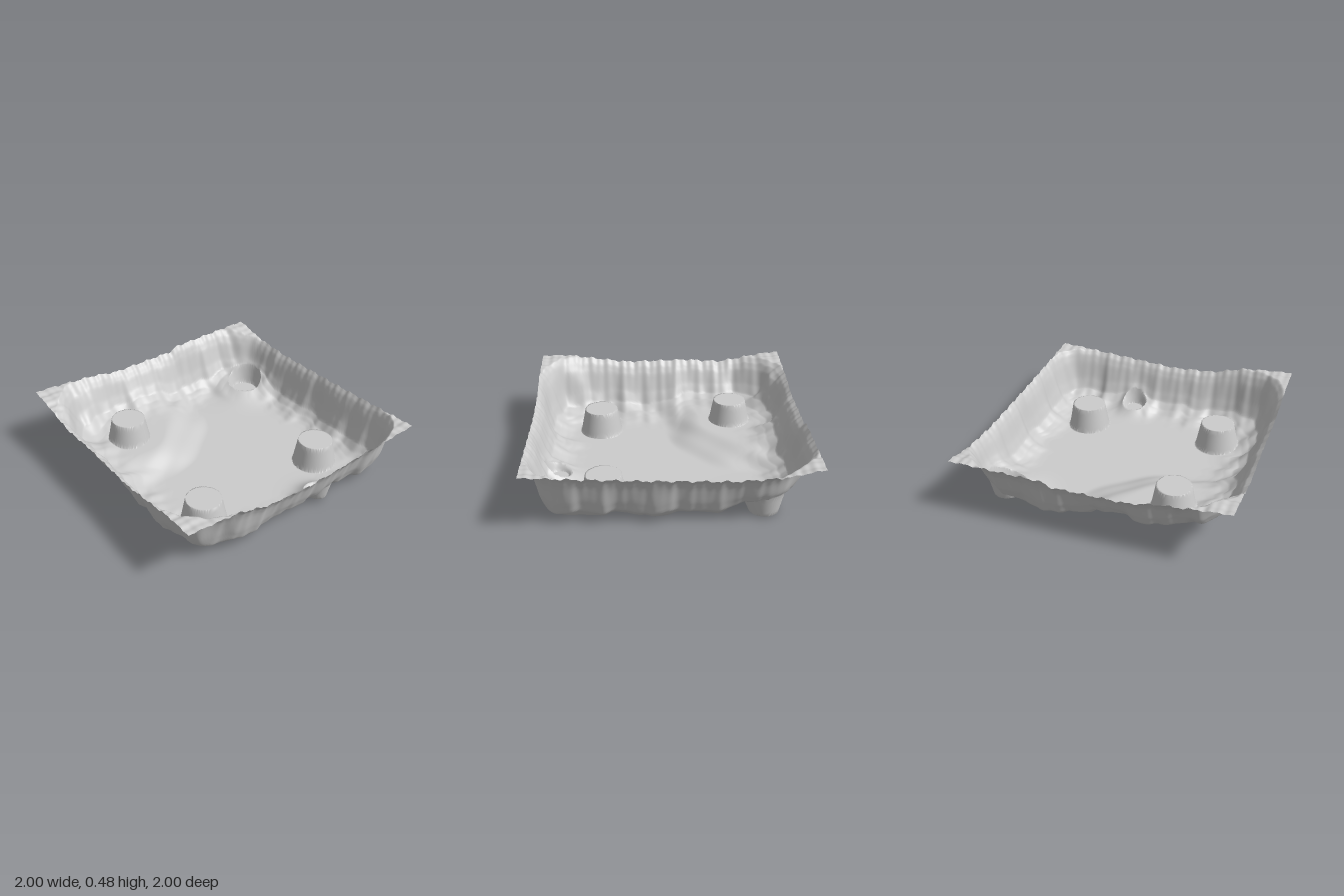
import * as THREE from 'three';

const { smoothstep, lerp } = THREE.MathUtils;

// Piecewise-linear lookup through [position, value] pairs
function sample(points, t) {
  if (t <= points[0][0]) return points[0][1];
  for (let i = 1; i < points.length; i++) {
    const [a, va] = points[i - 1], [b, vb] = points[i];
    if (t <= b) return lerp(va, vb, (t - a) / (b - a));
  }
  return points[points.length - 1][1];
}

// Wall rise: 0 = where the floor starts to curve up, 1 = outer edge
const wallProfile = [[0, 0], [0.2, 0.01], [0.35, 0.03], [0.5, 0.08], [0.65, 0.2],
  [0.75, 0.43], [0.85, 0.76], [0.92, 0.91], [1, 1]];

// Four walls: distance from the edge, position along it, width and rim heights
const walls = [
  { dist: (x, z) => 1 + x, along: (x, z) => z, width: 0.46, seed: 1.3,
    rim: [[-1, 0.48], [-0.5, 0.4], [-0.2, 0.42], [0.3, 0.41], [0.8, 0.48], [1, 0.48]] },
  { dist: (x, z) => 1 - x, along: (x, z) => z, width: 0.31, seed: 4.1,
    rim: [[-1, 0.44], [-0.8, 0.39], [-0.4, 0.37], [0.2, 0.39], [1, 0.43]] },
  { dist: (x, z) => 1 + z, along: (x, z) => x, width: 0.42, seed: 7.7,
    rim: [[-1, 0.48], [-0.5, 0.44], [-0.3, 0.4], [0.25, 0.4], [0.3, 0.43], [1, 0.44]] },
  { dist: (x, z) => 1 - z, along: (x, z) => x, width: 0.37, seed: 2.6,
    rim: [[-1, 0.48], [-0.6, 0.45], [-0.35, 0.38], [0, 0.36], [0.4, 0.39], [1, 0.43]] },
];

// Hollow raised posts with flat tops
const posts = [
  { x: -0.48, z: -0.535, base: 0.16, top: 0.127, y: 0.275 },
  { x: -0.525, z: 0.505, base: 0.168, top: 0.13, y: 0.195 },
  { x: 0.56, z: 0.465, base: 0.165, top: 0.13, y: 0.195 },
];

// Flat-bottomed sockets sunk into the foot of the walls
const sockets = [
  { x: 0.28, z: 0.8, base: 0.1, top: 0.07, y: 0.03, mound: 0.11, spread: 0.12 },
  { x: 0.76, z: -0.64, base: 0.14, top: 0.105, y: 0.01, mound: 0.13, spread: 0.2 },
];

// Vertical flutes that push each wall in and out
function flutes(t, seed) {
  return 0.09 * Math.sin(9 * t + seed) + 0.08 * Math.sin(17 * t + 2.3 * seed)
    + 0.05 * Math.sin(31 * t + 3.7 * seed) + 0.025 * Math.sin(57 * t + seed * seed);
}

function sheetHeight(x, z) {
  // Raised shelf in the back corner, with a terraced ramp
  const n = Math.cbrt(((x + 1) / 1.25) ** 3 + (z + 1) ** 3);
  const ripple = 0.012 * Math.sin(11 * x - 7 * z) + 0.008 * Math.sin(19 * x + 23 * z);
  const shelf = 0.1 * (1 - smoothstep(n + ripple, 0.75, 1.02));

  // Walls joined round the corners
  let sum = 0, rim = 0, weight = 1e-9;
  for (const w of walls) {
    const t = w.along(x, z);
    const d = Math.max(0, w.dist(x, z));
    const width = w.width * (1 + flutes(t, w.seed));
    const e = Math.max(0, 1 - d / width);
    sum += e * e;
    const jag = 0.006 * Math.sin(43 * t + w.seed) + 0.004 * Math.sin(97 * t + w.seed);
    rim += e * e * (sample(w.rim, t) + jag);
    weight += e * e;
  }
  const e = Math.min(1, Math.sqrt(sum));
  let y = lerp(shelf, rim / weight, sample(wallProfile, e));

  // Lumpy ground at the foot of the walls
  const lumps = Math.sin(13 * x + 3 * z) * Math.sin(15 * z - 2 * x + 1) + 0.5 * Math.sin(29 * x + 21 * z);
  y += 0.013 * (1 + lumps) * smoothstep(e, 0.1, 0.5) * (1 - smoothstep(e, 0.7, 0.95));

  for (const s of sockets) {
    const r = Math.hypot(x - s.x, z - s.z);
    y += s.mound * Math.exp(-((r / s.spread) ** 2)) * (1 - smoothstep(e, 0.6, 0.95));
    const k = Math.min(1, Math.max(0, (r - s.top) / (s.base - s.top)));
    y = lerp(Math.min(y, s.y), y, k);
  }
  for (const p of posts) {
    const r = Math.hypot(x - p.x, z - p.z);
    const k = Math.min(1, Math.max(0, (p.base - r) / (p.base - p.top)));
    y = lerp(y, p.y, k);
  }
  return Math.max(0, y);
}

export function createModel() {
  const group = new THREE.Group();
  group.name = 'terrainBasin';

  const segments = 250, step = 2 / segments;
  const geometry = new THREE.PlaneGeometry(2, 2, segments, segments).rotateX(-Math.PI / 2);
  const pos = geometry.attributes.position;
  for (let i = 0; i < pos.count; i++) {
    let x = pos.getX(i), z = pos.getZ(i);
    // Pull nearby vertices onto the round edges so they stay crisp
    for (const c of [...posts, ...sockets]) {
      const r = Math.hypot(x - c.x, z - c.z);
      for (const edge of [c.top, c.base]) {
        if (r > 0 && Math.abs(r - edge) < step * 0.55) {
          x = c.x + (x - c.x) * edge / r;
          z = c.z + (z - c.z) * edge / r;
          break;
        }
      }
    }
    pos.setXYZ(i, x, sheetHeight(x, z), z);
  }
  geometry.computeVertexNormals();

  const material = new THREE.MeshStandardMaterial({ color: 0xcccccc, side: THREE.DoubleSide });
  const sheet = new THREE.Mesh(geometry, material);
  sheet.name = 'basinWithPosts';
  group.add(sheet);
  return group;
}
